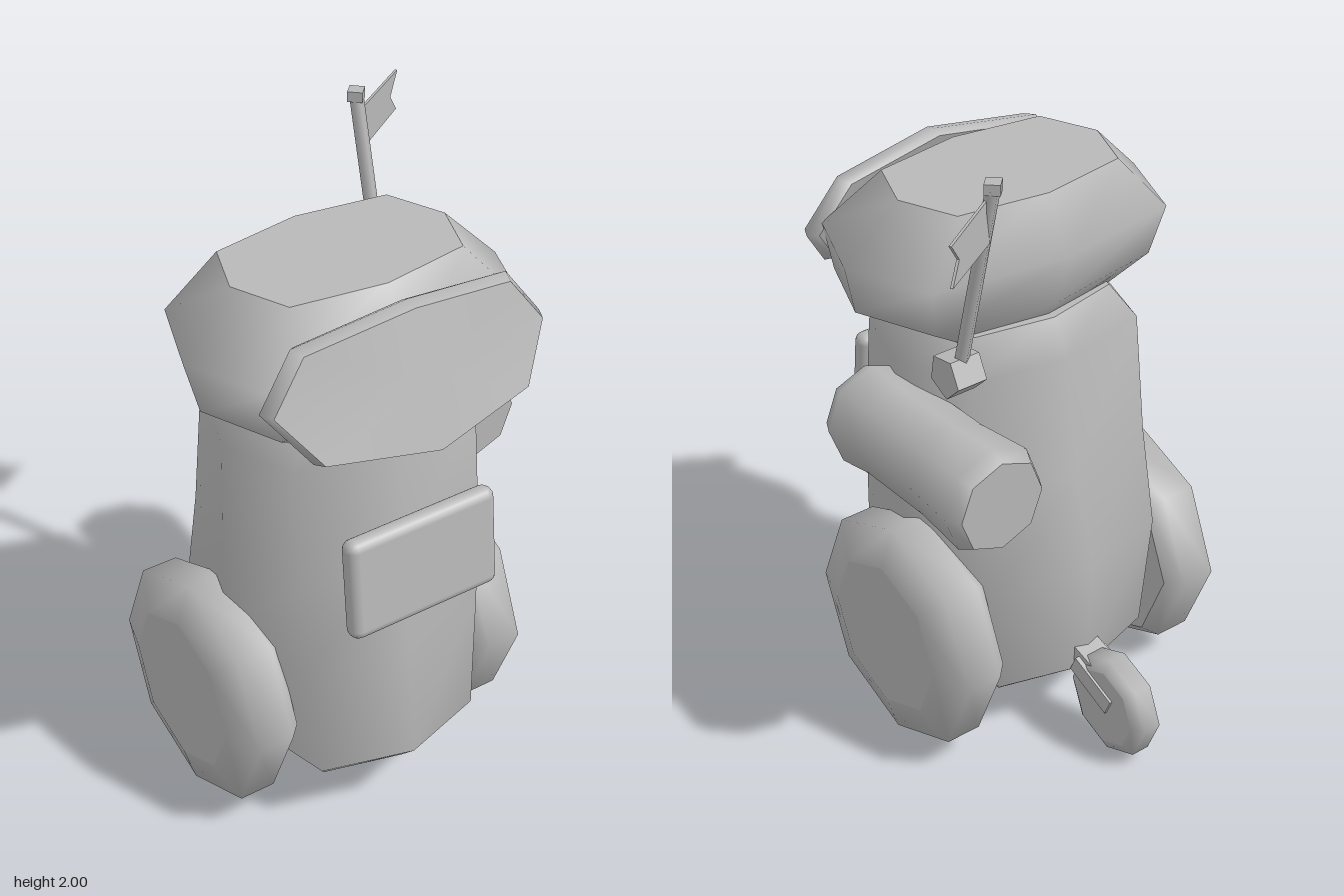
import * as THREE from 'three';
import { RoundedBoxGeometry } from 'three/addons/geometries/RoundedBoxGeometry.js';

const CX = -0.04; // the body's mid-plane

// Eight-sided stack along y: levels of [y, rx, rz, cz], smooth sides and flat end caps.
function loft(levels, diagonal = 0.8) {
  const pos = [], index = [];
  const ring = ([y, rx, rz, cz = 0]) => {
    for (let j = 0; j < 8; j++) {
      const a = (j * Math.PI) / 4, k = j % 2 ? diagonal * Math.SQRT2 : 1;
      pos.push(Math.cos(a) * k * rx, y, cz + Math.sin(a) * k * rz);
    }
  };
  levels.forEach(ring);
  for (let i = 0; i < levels.length - 1; i++) {
    for (let j = 0; j < 8; j++) {
      const a = i * 8 + j, b = i * 8 + ((j + 1) % 8), c = a + 8, d = b + 8;
      index.push(a, c, b, b, c, d);
    }
  }
  [levels[0], levels[levels.length - 1]].forEach((level, end) => {
    const start = pos.length / 3;
    ring(level);
    const centre = pos.length / 3;
    pos.push(0, level[0], level[3] || 0);
    for (let j = 0; j < 8; j++) {
      const a = start + j, b = start + ((j + 1) % 8);
      if (end) index.push(centre, b, a);
      else index.push(centre, a, b);
    }
  });
  const geometry = new THREE.BufferGeometry();
  geometry.setAttribute('position', new THREE.Float32BufferAttribute(pos, 3));
  geometry.setIndex(index);
  geometry.computeVertexNormals();
  return geometry;
}

export function createModel() {
  const model = new THREE.Group();
  model.name = 'robot';
  const grey = new THREE.MeshStandardMaterial({ color: 0xb8b8b8 });
  grey.name = 'plain grey';
  grey.side = THREE.DoubleSide;

  const add = (name, geometry, x = 0, y = 0, z = 0) => {
    const mesh = new THREE.Mesh(geometry, grey);
    mesh.name = name;
    mesh.position.set(x, y, z);
    model.add(mesh);
    return mesh;
  };
  // Straight bar between two points in the plane x = const
  const bar = (name, geometry, x, y0, z0, y1, z1) => {
    const mesh = add(name, geometry, x, (y0 + y1) / 2, (z0 + z1) / 2);
    mesh.rotation.x = Math.atan2(z1 - z0, y1 - y0);
    return mesh;
  };

  // Tapered body
  add('body', loft([
    [0.17, 0.3, 0.35, 0.11],
    [0.23, 0.35, 0.415, 0.105],
    [0.6, 0.39, 0.4, 0.08],
    [0.9, 0.4, 0.345, 0.105],
    [1.28, 0.395, 0.3, 0.11],
    [1.39, 0.31, 0.25, 0.12],
  ]), CX);

  // Wide head
  add('head', loft([
    [1.36, 0.34, 0.23, 0.15],
    [1.45, 0.49, 0.31, 0.16],
    [1.61, 0.53, 0.335, 0.145],
    [1.78, 0.36, 0.225, 0.12],
  ]), CX);

  // Face plate, leaning forward at the foot and bowed back at the sides
  const face = loft([
    [-0.065, 0.44, 0.185],
    [-0.035, 0.47, 0.2],
    [0, 0.45, 0.19],
  ], 0.76).rotateX(Math.PI / 2);
  const p = face.attributes.position;
  for (let i = 0; i < p.count; i++) {
    p.setZ(i, p.getZ(i) - 0.355 * p.getY(i) - 0.37 * p.getX(i) ** 2);
  }
  face.computeVertexNormals();
  add('facePlate', face, CX, 1.575, 0.54);

  // Chest panel standing off the body
  add('chestPanel', new RoundedBoxGeometry(0.51, 0.32, 0.065, 2, 0.03), -0.045, 0.96, 0.53)
    .rotation.x = -0.1;

  // Main wheels
  for (const side of [1, -1]) {
    const wheel = loft([
      [-0.1, 0.33, 0.33],
      [-0.055, 0.375, 0.375],
      [0.06, 0.375, 0.375],
      [0.1, 0.25, 0.25],
    ], Math.SQRT1_2).rotateZ((-side * Math.PI) / 2);
    add(side > 0 ? 'leftWheel' : 'rightWheel', wheel, CX + side * 0.42, 0.385, 0.035);
  }

  // Rear caster wheel with its stem and fork
  const caster = loft([
    [-0.052, 0.13, 0.13],
    [-0.03, 0.17, 0.17],
    [0.03, 0.17, 0.17],
    [0.052, 0.13, 0.13],
  ], Math.SQRT1_2).rotateZ(-Math.PI / 2);
  add('casterWheel', caster, CX, 0.175, -0.445);
  bar('casterStem', new THREE.BoxGeometry(0.09, 0.12, 0.08), CX, 0.285, -0.26, 0.255, -0.36);
  for (const side of [1, -1]) {
    bar('casterFork', new THREE.BoxGeometry(0.02, 0.18, 0.06),
      CX + side * 0.05, 0.265, -0.31, 0.195, -0.475);
  }

  // Flared tube carried on the left side
  const tube = loft([
    [-0.45, 0.14, 0.14],
    [-0.405, 0.165, 0.165],
    [-0.22, 0.147, 0.15],
    [0.04, 0.147, 0.15],
    [0.155, 0.163, 0.163],
    [0.2, 0.14, 0.14],
  ], 0.72).rotateX(Math.PI / 2);
  add('sideTube', tube, 0.4, 1.095, 0);

  // Flagpole: mount, pole and cap
  const mount = new THREE.CylinderGeometry(0.068, 0.068, 0.1, 5).toNonIndexed();
  mount.computeVertexNormals();
  mount.rotateZ(Math.PI / 2).rotateX(Math.PI / 2 + 0.15);
  add('flagMount', mount, 0.31, 1.342, -0.135);
  bar('flagPole', new THREE.CylinderGeometry(0.021, 0.021, 0.64, 6), 0.31, 1.36, -0.145, 1.98, -0.3);
  const cap = new THREE.CylinderGeometry(0.032, 0.032, 0.032, 4).toNonIndexed();
  cap.computeVertexNormals();
  add('poleCap', cap, 0.308, 1.984, -0.298);

  // Swallow-tailed flag streaming back to the left
  const outline = [[0, 0.065], [0.28, 0.065], [0.225, 0], [0.275, -0.06], [0, -0.07]];
  const flag = new THREE.ExtrudeGeometry(
    new THREE.Shape(outline.map(([x, y]) => new THREE.Vector2(x, y))),
    { depth: 0.008, bevelEnabled: false },
  ).translate(0, 0, -0.004);
  add('flag', flag, 0.313, 1.88, -0.28).rotation.y = 0.57;

  return model;
}
